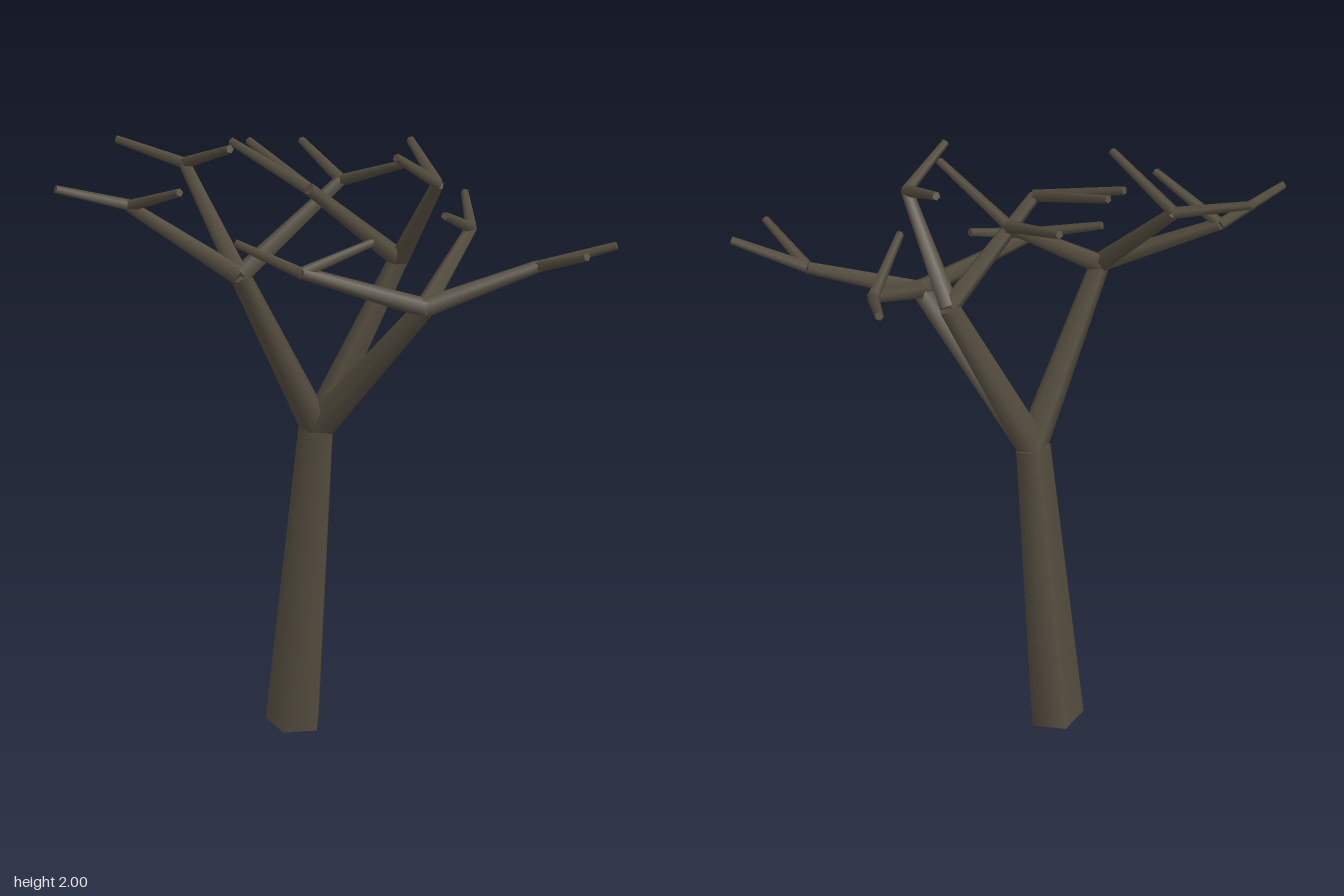
import * as THREE from 'three';

const UP = new THREE.Vector3(0, 1, 0);

// Each node: [end position, children]
const FORK = [-0.13, 1.06, 0.022];
const LIMBS = [
  [[-0.275, 1.6, 0.28], [
    [[-0.64, 1.79, 0.28], [[[-0.8, 1.86, 0.45]], [[-0.41, 1.87, 0.41]]]],
    [[-0.53, 1.9, 0.11], [[[-0.76, 1.96, 0.11]], [[-0.3, 1.985, 0.285]]]],
    [[-0.06, 1.855, -0.015], [[[-0.255, 1.94, -0.175]], [[0.2, 1.95, 0.15]]]],
  ]],
  [[0.1, 1.6, -0.1], [
    [[0.28, 1.88, 0.07], [[[0.2, 1.98, 0.22]], [[0.13, 1.975, -0.11]]]],
    [[-0.09, 1.86, 0.18], [[[-0.385, 1.97, 0.08]], [[-0.35, 1.965, 0.025]]]],
  ]],
  [[0.26, 1.51, 0.125], [
    [[0.57, 1.63, -0.035], [[[0.8, 1.705, -0.065]], [[0.75, 1.7, 0.095]]]],
    [[-0.05, 1.64, 0.34], [[[-0.27, 1.71, 0.32]], [[0.11, 1.71, 0.17]]]],
    [[0.29, 1.685, -0.24], [[[0.2, 1.755, -0.45]], [[0.28, 1.77, 0]]]],
  ]],
];

// Name, start radius and end radius for each level of branching
const LEVELS = [
  ['limb', 0.052, 0.033],
  ['branch', 0.032, 0.02],
  ['twig', 0.019, 0.013],
];

export function createModel() {
  const tree = new THREE.Group();
  tree.name = 'bareTree';
  const bark = new THREE.MeshStandardMaterial({ color: 0x544d3f });

  // Tapered five-sided segment between two points
  function segment(name, from, to, r0, r1) {
    const a = new THREE.Vector3(...from);
    const dir = new THREE.Vector3(...to).sub(a);
    const geometry = new THREE.CylinderGeometry(r1, r0, dir.length(), 5);
    const mesh = new THREE.Mesh(geometry, bark);
    mesh.name = name;
    mesh.position.copy(a).addScaledVector(dir, 0.5);
    mesh.quaternion.setFromUnitVectors(UP, dir.normalize());
    tree.add(mesh);
  }

  // Grow all segments that start at one joint, then their children
  function grow(from, nodes, level) {
    const [name, r0, r1] = LEVELS[level];
    for (const [to, children = []] of nodes) {
      segment(name, from, to, r0, r1);
      if (children.length) grow(to, children, level + 1);
    }
  }

  segment('trunk', [-0.237, 0.01, -0.026], FORK, 0.097, 0.06);
  grow(FORK, LIMBS, 0);
  return tree;
}
